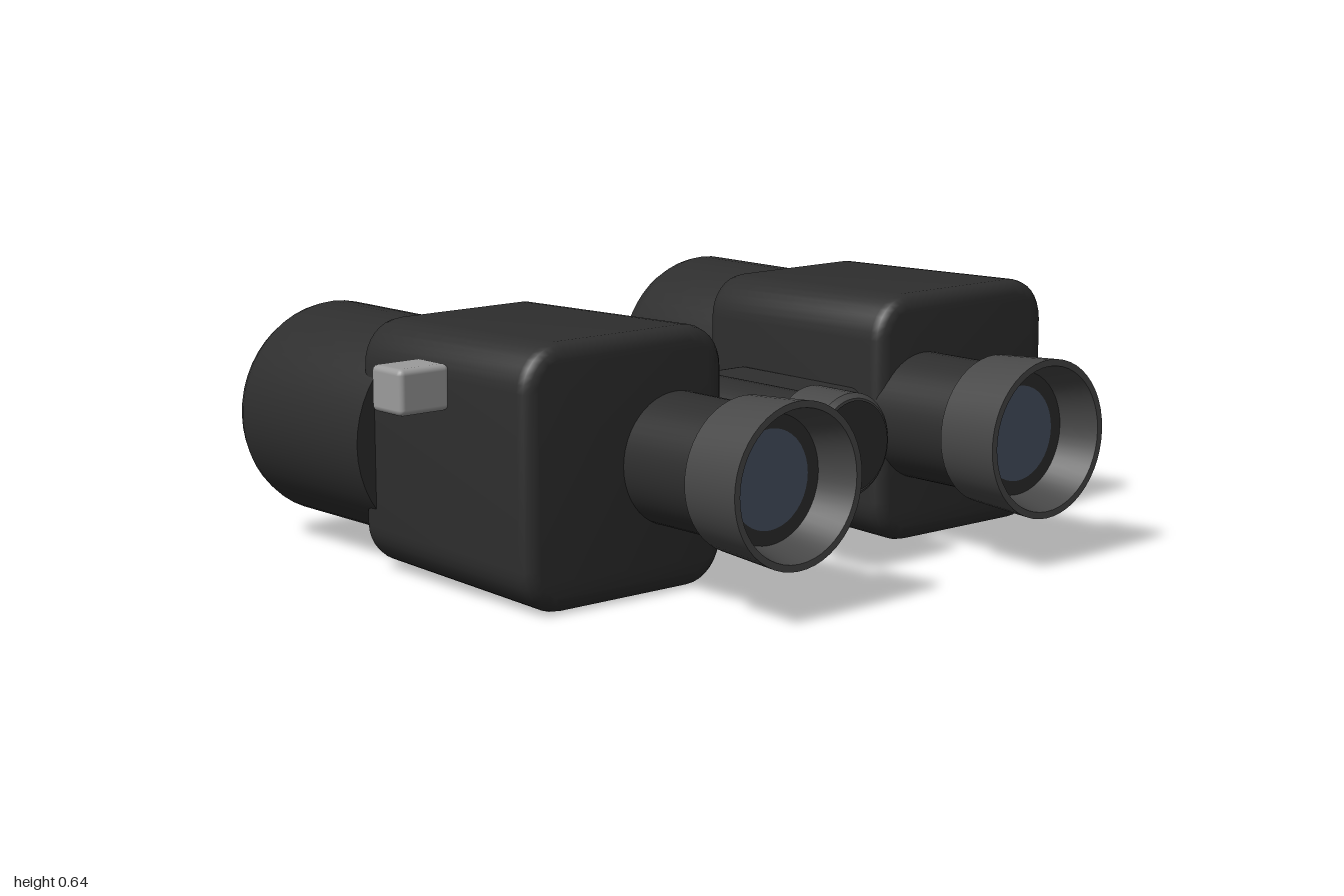
import * as THREE from 'three';
import { toCreasedNormals } from 'three/addons/utils/BufferGeometryUtils.js';
import { RoundedBoxGeometry } from 'three/addons/geometries/RoundedBoxGeometry.js';

const AXIS_Y = 0.325; // height of all optical axes and the hinge

const material = (color) => new THREE.MeshStandardMaterial({ color });
const shell = material(0x2e2e2e);
const rubber = material(0x484848);
const glass = material(0x485264);
const metal = material(0x9c9c9c);

function part(parent, name, geometry, mat, x = 0, y = 0, z = 0) {
  const mesh = new THREE.Mesh(geometry, mat);
  mesh.name = name;
  mesh.position.set(x, y, z);
  parent.add(mesh);
  return mesh;
}

// Solid of revolution about z; points are [radius, z] from back to front
function turned(points, segments = 48) {
  const g = new THREE.LatheGeometry(points.map(([r, z]) => new THREE.Vector2(r, z)), segments);
  g.rotateX(Math.PI / 2);
  return toCreasedNormals(g, 0.5);
}

// Rounded prism housing, slightly narrower toward the back
function housingGeometry() {
  const w = 0.305, h = 0.32, r = 0.11, bevel = 0.035;
  const front = 0.365, back = -0.31;
  const s = new THREE.Shape();
  s.moveTo(-w + r, -h);
  s.lineTo(w - r, -h);
  s.absarc(w - r, -h + r, r, -Math.PI / 2, 0);
  s.lineTo(w, h - r);
  s.absarc(w - r, h - r, r, 0, Math.PI / 2);
  s.lineTo(-w + r, h);
  s.absarc(-w + r, h - r, r, Math.PI / 2, Math.PI);
  s.lineTo(-w, -h + r);
  s.absarc(-w + r, -h + r, r, Math.PI, Math.PI * 1.5);
  const g = new THREE.ExtrudeGeometry(s, {
    depth: front - back - 2 * bevel, curveSegments: 4,
    bevelSize: bevel, bevelThickness: bevel, bevelOffset: -bevel, bevelSegments: 3,
  });
  g.translate(0, 0, back + bevel);
  const p = g.attributes.position;
  for (let i = 0; i < p.count; i++) {
    const k = 1 - 0.05 * (front - p.getZ(i)) / (front - back);
    p.setXY(i, p.getX(i) * k, p.getY(i) * k);
  }
  return toCreasedNormals(g, 0.6);
}

export function createModel() {
  const model = new THREE.Group();
  model.name = 'binoculars';

  const housing = housingGeometry();
  const barrel = turned([[0, -0.78], [0.237, -0.78], [0.24, -0.79], [0.255, -0.79],
    [0.268, -0.765], [0.275, -0.74], [0.275, -0.25], [0, -0.25]]);
  const eyeTube = turned([[0, 0.3], [0.163, 0.3], [0.163, 0.62], [0, 0.62]]);
  const eyecup = turned([[0, 0.61], [0.187, 0.61], [0.199, 0.795], [0.182, 0.795],
    [0.155, 0.69], [0, 0.69]]);
  const frontGlass = new THREE.CircleGeometry(0.237, 48).rotateY(Math.PI);
  const eyeGlass = new THREE.CircleGeometry(0.12, 40);
  const eyeRing = new THREE.RingGeometry(0.118, 0.156, 40);
  const lug = new RoundedBoxGeometry(0.145, 0.112, 0.12, 2, 0.015);
  const bridge = new RoundedBoxGeometry(0.21, 0.15, 0.485, 3, 0.035);

  for (const side of [1, -1]) {
    const half = new THREE.Group();
    half.name = side > 0 ? 'leftHalf' : 'rightHalf';
    model.add(half);

    part(half, 'prismHousing', housing, shell, side * 0.565, 0.32);
    // Objective
    part(half, 'objectiveBarrel', barrel, shell, side * 0.635, AXIS_Y);
    part(half, 'objectiveLens', frontGlass, glass, side * 0.635, AXIS_Y, -0.786);
    // Eyepiece
    part(half, 'eyepieceTube', eyeTube, shell, side * 0.418, AXIS_Y);
    part(half, 'eyecup', eyecup, rubber, side * 0.418, AXIS_Y);
    part(half, 'eyepieceRing', eyeRing, shell, side * 0.418, AXIS_Y, 0.693);
    part(half, 'eyepieceLens', eyeGlass, glass, side * 0.418, AXIS_Y, 0.695);
    // Strap lug and hinge arm
    part(half, 'strapLug', lug, metal, side * 0.9275, 0.508, 0);
    part(half, 'bridgeArm', bridge, shell, side * 0.193, AXIS_Y, 0.055);
  }

  // Central hinge with focus knob
  part(model, 'hingeRod', turned([[0, -0.375], [0.107, -0.375], [0.107, 0.4], [0, 0.4]], 40),
    shell, 0, AXIS_Y);
  part(model, 'focusKnob', turned([[0, 0.39], [0.13, 0.39], [0.13, 0.528], [0.118, 0.54], [0, 0.54]], 40),
    rubber, 0, AXIS_Y);
  part(model, 'focusKnobFace', new THREE.CircleGeometry(0.113, 40), shell, 0, AXIS_Y, 0.543);
  part(model, 'hingePin', turned([[0, -0.396], [0.042, -0.396], [0.046, -0.39], [0.046, -0.37], [0, -0.37]], 24),
    metal, 0, AXIS_Y);

  return model;
}
